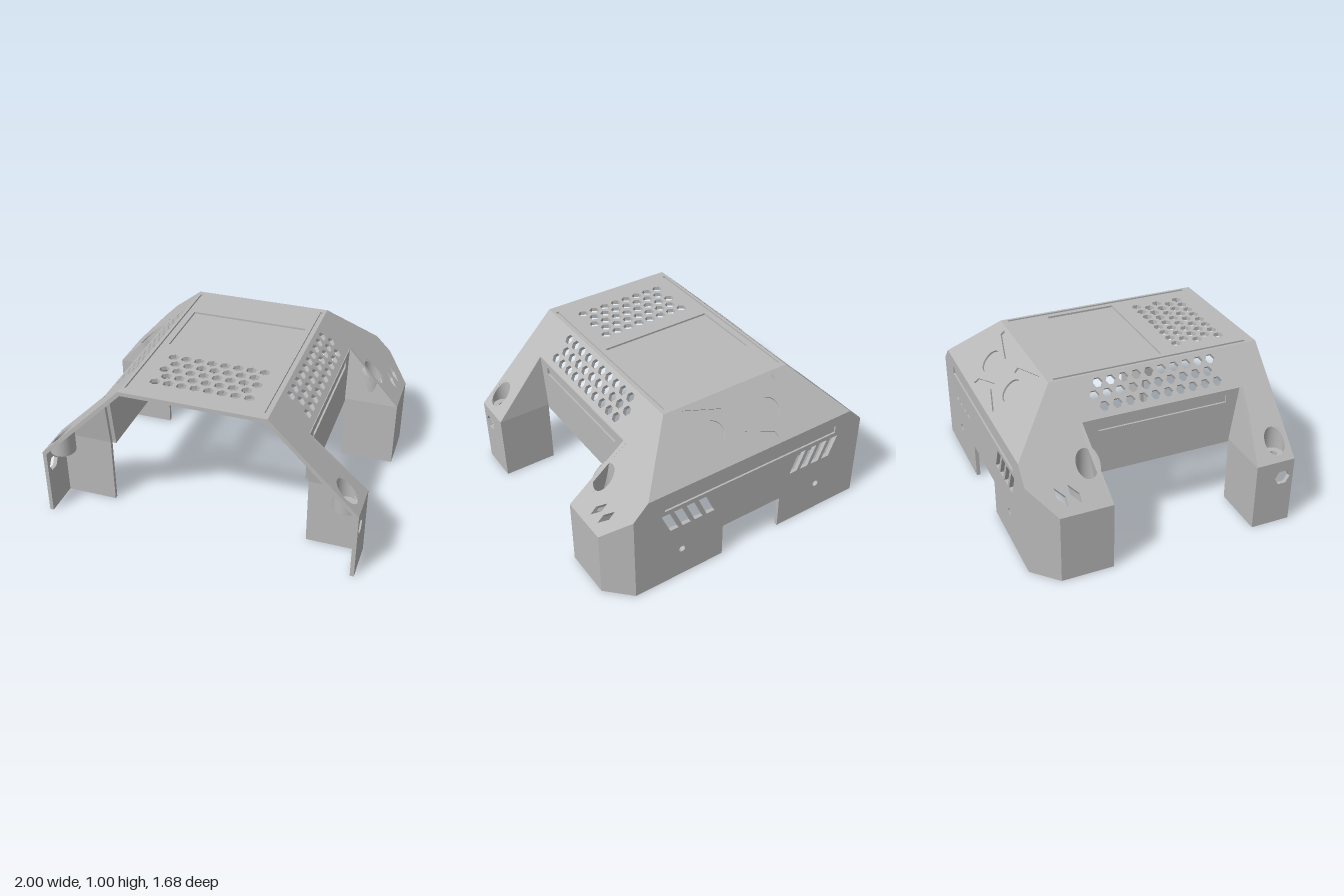
import * as THREE from 'three';
import { toCreasedNormals } from 'three/addons/utils/BufferGeometryUtils.js';

const WALL = 0.025, ENGRAVE = 0.012;
const V3 = (x, y, z) => new THREE.Vector3(x, y, z);

// 2D outlines as point lists
const rect = (x0, y0, x1, y1) => [[x0, y0], [x1, y0], [x1, y1], [x0, y1]];
const arc = (cx, cy, rx, ry, a0, a1, n) => Array.from({ length: n + 1 }, (_, i) => {
  const a = THREE.MathUtils.degToRad(a0 + (a1 - a0) * i / n);
  return [cx + rx * Math.cos(a), cy + ry * Math.sin(a)];
});
const ellipse = (cx, cy, rx, ry = rx, n = 32) => arc(cx, cy, rx, ry, 0, 360, n).slice(0, n);
const hexagon = (cx, cy, r, turn = 0, sy = 1) => arc(cx, cy, r, r * sy, turn, turn + 360, 6).slice(0, 6);
const flip = (pts) => pts.map(([x, y]) => [-x, y]);
const path = (pts) => pts.map(([x, y]) => new THREE.Vector2(x, y));

function extrude(outline, holes, depth) {
  const shape = new THREE.Shape(path(outline));
  holes.forEach((h) => shape.holes.push(new THREE.Path(path(h))));
  return new THREE.ExtrudeGeometry(shape, { depth, bevelEnabled: false, curveSegments: 1 });
}

function mirrorX(geometry) {
  const g = geometry.index ? geometry.toNonIndexed() : geometry.clone();
  for (const key of ['position', 'normal']) {
    const a = g.attributes[key];
    for (let i = 0; i < a.count; i += 3) {
      const p = [0, 2, 1].map((k) => V3().fromBufferAttribute(a, i + k));
      p.forEach((v, k) => a.setXYZ(i + k, -v.x, v.y, v.z));
    }
  }
  return g;
}

export function createModel() {
  const model = new THREE.Group();
  model.name = 'vehicleShell';
  const grey = new THREE.MeshStandardMaterial({ color: 0xb8b8b8 });
  grey.name = 'plainGrey';

  function add(name, geometry, both = false) {
    const sides = both ? [['left', geometry], ['right', mirrorX(geometry)]] : [['', geometry]];
    for (const [side, g] of sides) {
      const mesh = new THREE.Mesh(g, grey);
      mesh.name = side ? side + name[0].toUpperCase() + name.slice(1) : name;
      model.add(mesh);
    }
  }

  // Plate on the plane origin + a*u + b*v, growing inward; engraved shapes cut the outer layer only
  function plate(name, origin, u, v, outline, { holes = [], engraved = [], both = false } = {}) {
    const n = u.clone().cross(v).normalize();
    const layers = engraved.length
      ? [['', -ENGRAVE, ENGRAVE, [...holes, ...engraved]], ['Backing', -WALL, WALL - ENGRAVE, holes]]
      : [['', -WALL, WALL, holes]];
    for (const [suffix, start, depth, cuts] of layers) {
      const g = extrude(outline, cuts, depth).translate(0, 0, start);
      g.applyMatrix4(new THREE.Matrix4().makeBasis(u, v, n).setPosition(origin));
      add(name + suffix, g, both);
    }
  }

  const UP = V3(0, 1, 0), RIGHTWARD = V3(-1, 0, 0), LEFTWARD = V3(1, 0, 0), BACKWARD = V3(0, 0, -1);

  // Roof: vent holes, sunken panel and two long grooves
  const roofHoles = [];
  for (let row = 0; row < 5; row++) {
    const count = row % 2 ? 7 : 8;
    for (let i = 0; i < count; i++) {
      roofHoles.push(hexagon((i - (count - 1) / 2) * 0.083, -0.365 - row * 0.0745, 0.033, 90));
    }
  }
  plate('roof', V3(0, 1, 0), LEFTWARD, BACKWARD, rect(-0.45, -0.84, 0.45, 0.54), {
    holes: roofHoles,
    engraved: [rect(-0.38, -0.22, 0.38, 0.24), rect(-0.432, -0.78, -0.415, 0.5), rect(0.415, -0.78, 0.432, 0.5)],
  });

  // Sloping rear panel with engraved round and bar shapes
  const bar = [[0.335, 0.96], [0.33, 0.985], [0.085, 0.932], [0.09, 0.907]];
  plate('rearSlope', V3(0, 0, -1.54), RIGHTWARD, V3(0, 1, 1),
    [[-0.75, 0.7], [0.75, 0.7], [0.45, 1], [-0.45, 1]], {
      engraved: [
        ellipse(0.205, 0.85, 0.08, 0.055), ellipse(-0.205, 0.85, 0.08, 0.055), bar, flip(bar),
        [[-0.2, 0.725], [0, 0.775], [0.2, 0.725], [0.19, 0.755], [0, 0.805], [-0.19, 0.755]],
      ],
    });

  // Upright rear wall with slanted louvres, groove and screw holes
  const louvres = [];
  for (let i = 0; i < 4; i++) {
    const x = 0.287 + i * 0.086;
    const slot = [[x, 0.405], [x + 0.058, 0.405], [x + 0.118, 0.545], [x + 0.06, 0.545]];
    louvres.push(slot, flip(slot));
  }
  plate('rearWall', V3(0, 0, -0.84), RIGHTWARD, UP,
    [[-0.85, 0], [-0.22, 0], [-0.22, 0.235], [0.22, 0.235], [0.22, 0], [0.85, 0],
      [0.85, 0.6], [0.75, 0.7], [-0.75, 0.7], [-0.85, 0.6]], {
      holes: [...louvres, ellipse(0.52, 0.21, 0.022), ellipse(-0.52, 0.21, 0.022)],
      engraved: [rect(-0.64, 0.575, 0.64, 0.63)],
    });
  add('rearScrewBoss', extrude(ellipse(0, 0, 0.07), [hexagon(0, 0, 0.042, 90)], 0.05)
    .translate(0.52, 0.21, -0.82), true);

  // Sloping side panels: hex vents, two slits and openings for the screw pockets
  const sideHoles = [ellipse(-0.745, 0.545, 0.075), ellipse(0.45, 0.64, 0.075)];
  for (let row = 0; row < 3; row++) {
    for (let i = 0; i < 10; i++) {
      sideHoles.push(hexagon(-0.5 + i * 0.083 + (row % 2) * 0.042, 0.96 - row * 0.052, 0.032, 0, Math.SQRT1_2));
    }
  }
  for (const s of [0.54, 0.623]) {
    sideHoles.push([[s, 0.49], [s + 0.055, 0.535], [s + 0.055, 0.575], [s, 0.53]]);
  }
  plate('sideSlope', V3(1.45, 0, 0), BACKWARD, V3(-1, 1, 0),
    [[-0.84, 1], [-0.84, 0.45], [-0.58, 0.45], [-0.63, 0.81], [0.41, 0.81],
      ...arc(0.45, 0.64, 0.08, 0.08, 134, 210, 10),
      [0.36, 0.45], [0.69, 0.45], [0.84, 0.6], [0.84, 0.7], [0.54, 1]],
    { holes: sideHoles, both: true });

  // Recessed side walls with a long groove
  plate('recessedWall', V3(0.645, 0, 0), BACKWARD, UP,
    [[-0.58, 0.43], [0.36, 0.43], [0.36, 0.45], [0.41, 0.81], [-0.63, 0.81], [-0.58, 0.45]],
    { engraved: [rect(-0.54, 0.725, 0.31, 0.775)], both: true });

  // Legs: outer walls, rear corner chamfers and walls facing the side recess
  plate('frontLegOuter', V3(1, 0, 0), BACKWARD, UP, rect(-0.84, 0, -0.58, 0.45),
    { holes: [hexagon(-0.765, 0.33, 0.052)], both: true });
  plate('rearLegOuter', V3(1, 0, 0), BACKWARD, UP, rect(0.36, 0, 0.69, 0.45), { both: true });
  plate('rearCorner', V3(1, 0, -0.69), V3(-1, 0, -1), UP,
    [[0, 0], [0.15, 0], [0.15, 0.6], [0, 0.45]], { both: true });
  const gusset = [[1, 0.45], [0.645, 0.45], [0.645, 0.81]];
  const tilt = 0.05 / 0.36;
  plate('frontLegInner', V3(0, 0, 0.58), RIGHTWARD, UP, rect(-1, 0, -0.645, 0.45), { both: true });
  plate('frontGusset', V3(0, 0, 0.58 - 0.45 * tilt), RIGHTWARD, V3(0, 1, tilt), flip(gusset), { both: true });
  plate('rearLegInner', V3(0, 0, -0.36), LEFTWARD, UP, rect(0.645, 0, 1, 0.45), { both: true });
  plate('rearGusset', V3(0, 0, -0.36 + 0.45 * tilt), LEFTWARD, V3(0, 1, -tilt), gusset, { both: true });

  // Upright screw pockets trimmed to the side slope
  const profile = [[0.025, 0.43], [0.08, 0.43], [0.08, 2], [0.065, 2], [0.065, 0.455], [0.025, 0.455], [0.025, 0.43]];
  for (const [name, x, z] of [['frontScrewPocket', 0.905, 0.745], ['rearScrewPocket', 0.81, -0.45]]) {
    const g = new THREE.LatheGeometry(path(profile), 32).translate(x, 0, z);
    const p = g.attributes.position;
    for (let i = 0; i < p.count; i++) {
      if (p.getY(i) > 1.5) p.setY(i, 1.449 - p.getX(i));
    }
    add(name, toCreasedNormals(g, 0.6), true);
  }
  return model;
}
